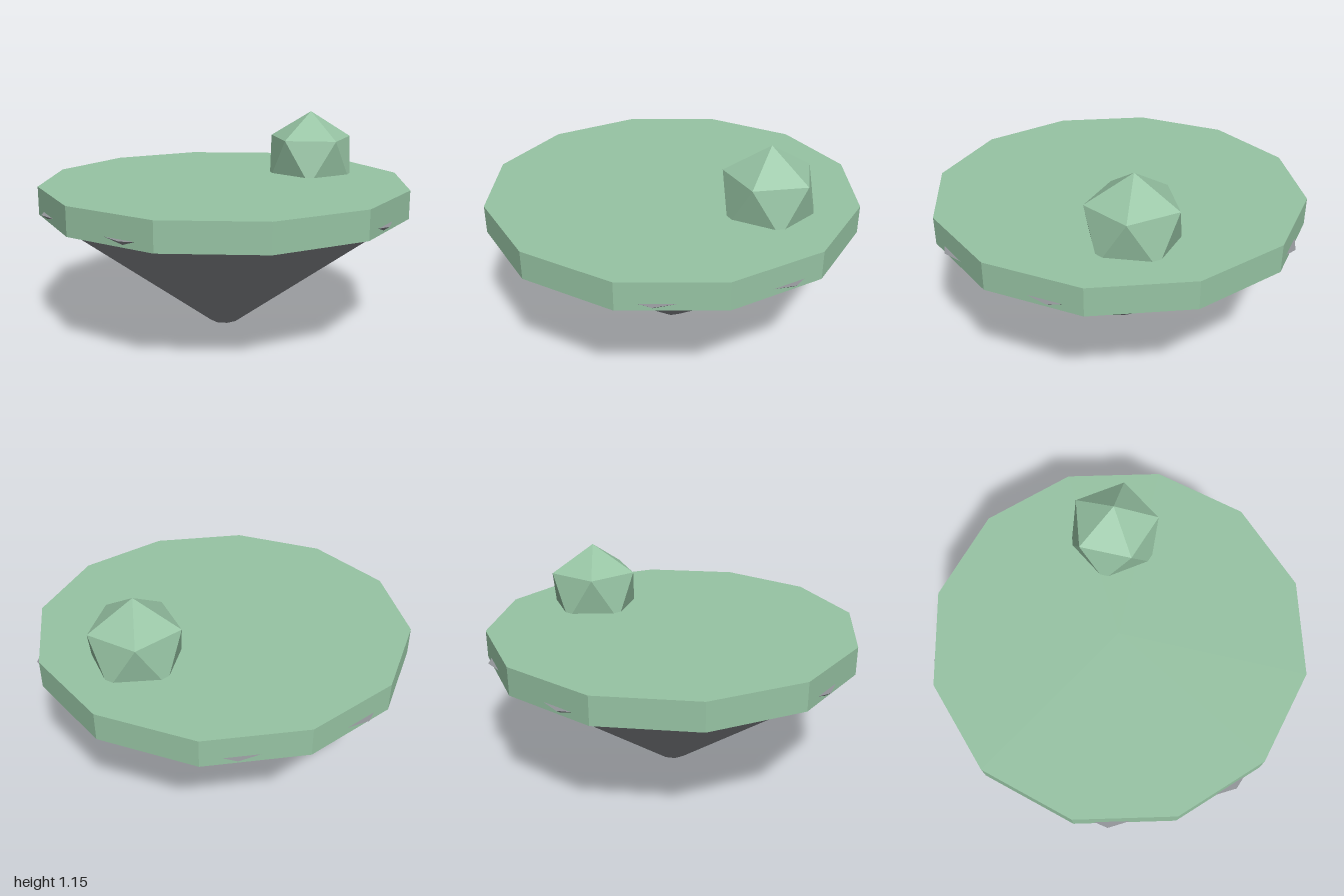
import * as THREE from 'three';

export function createModel() {
  const group = new THREE.Group();
  group.name = 'floatingIsland';

  const grass = new THREE.MeshStandardMaterial({ color: 0x97c4a4 });
  grass.name = 'grass green';
  grass.flatShading = true;
  const rock = new THREE.MeshStandardMaterial({ color: 0x929599 });
  rock.name = 'rock grey';
  rock.flatShading = true;

  const add = (name, geometry, material, x, y, z) => {
    const mesh = new THREE.Mesh(geometry, material);
    mesh.name = name;
    mesh.position.set(x, y, z);
    group.add(mesh);
  };

  // Twelve-sided grass slab
  add('grassSlab', new THREE.CylinderGeometry(1, 1, 0.15, 12), grass, 0, 0.734, 0);

  // Nine-sided rock, its upper corners poking through the slab's sides
  const rockHeight = 0.695;
  add('rockBase', new THREE.CylinderGeometry(1, 0.08, rockHeight, 9), rock, 0, rockHeight / 2, 0);

  // Bush: icosahedron turned to stand on a corner, sunk into the slab
  const bush = new THREE.IcosahedronGeometry(0.267, 0);
  bush.rotateZ(-Math.atan(2 / (1 + Math.sqrt(5))));
  add('bush', bush, grass, 0.54, 0.888, -0.155);

  return group;
}
